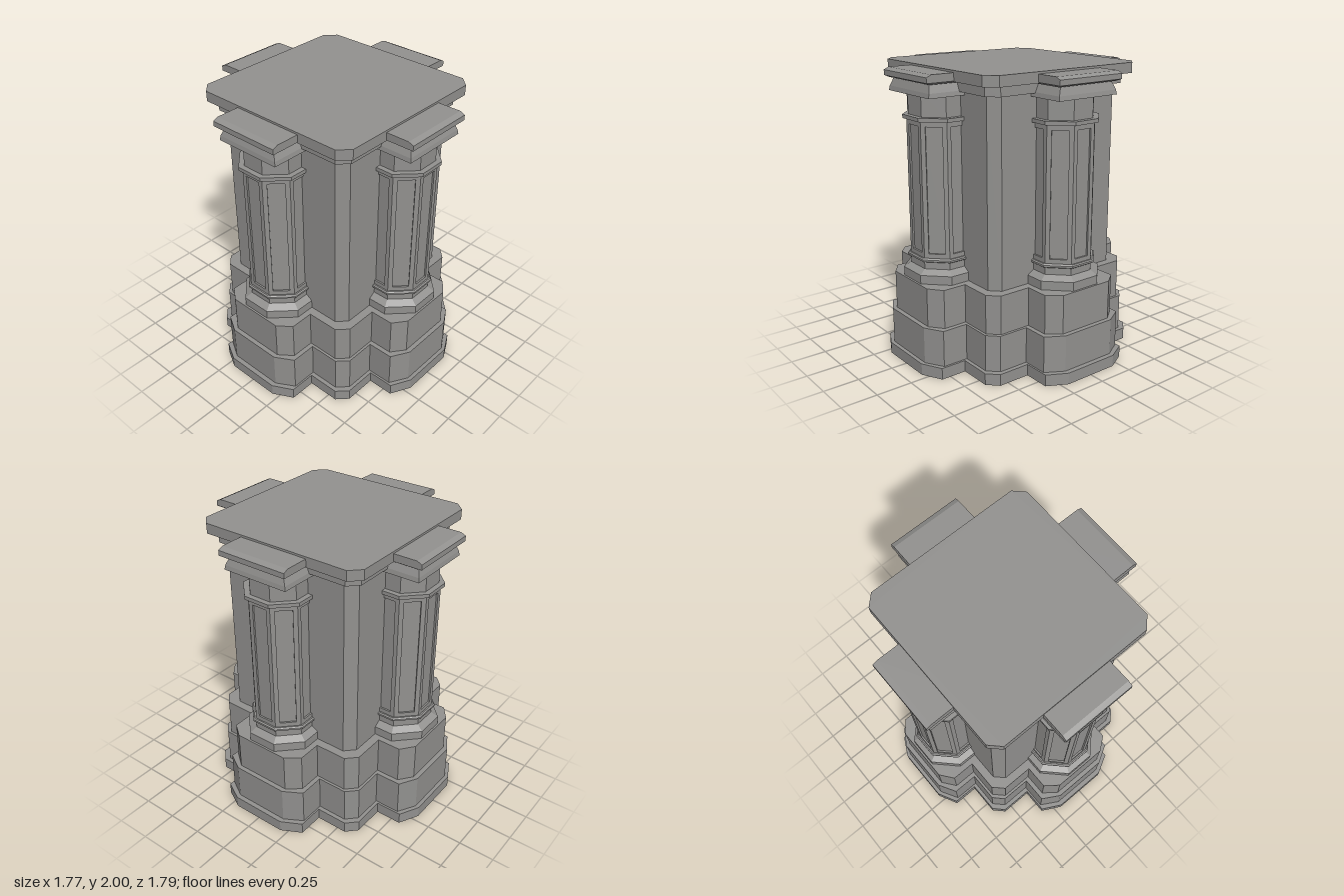
import * as THREE from 'three';

const material = new THREE.MeshStandardMaterial({ color: 0x92918f, flatShading: true });
const CENTER = 0.562; // distance of each pilaster axis from the middle

function add(parent, name, geometry) {
  const mesh = new THREE.Mesh(geometry, material);
  mesh.name = name;
  parent.add(mesh);
  return mesh;
}

// Upright prism over a plan outline
function prism(points, y0, y1) {
  const shape = new THREE.Shape(points.map(([x, y]) => new THREE.Vector2(x, y)));
  const g = new THREE.ExtrudeGeometry(shape, { depth: y1 - y0, bevelEnabled: false });
  return g.rotateX(-Math.PI / 2).translate(0, y0, 0);
}

// Repeat one side of a plan around the four quarter turns
function fourfold(side) {
  const out = [];
  for (let k = 0; k < 4; k++) {
    const c = Math.round(Math.cos(k * Math.PI / 2)), s = Math.round(Math.sin(k * Math.PI / 2));
    for (const [x, y] of side) out.push([x * c - y * s, x * s + y * c]);
  }
  return out;
}

// Square with cut corners
const cutSquare = (half, cut) => fourfold([[half, -(half - cut)], [half, half - cut]]);

// Cut square with a chamfered projection on each side
const crossPlan = (reach, width, body) => fourfold([
  [body, -(body - 0.07)], [body, -width], [reach - 0.072, -width], [reach, -0.2],
  [reach, 0.2], [reach - 0.072, width], [body, width], [body, body - 0.07],
]);

// Box whose top differs from its bottom in half width and front depth
function taperedBox(y0, y1, half0, half1, front0, front1, back = 0.5) {
  const g = new THREE.BoxGeometry(2, 1, 1);
  const p = g.attributes.position;
  for (let i = 0; i < p.count; i++) {
    const top = p.getY(i) > 0;
    p.setXYZ(i, p.getX(i) * (top ? half1 : half0), top ? y1 : y0,
      p.getZ(i) > 0 ? (top ? front1 : front0) : back);
  }
  g.computeVertexNormals();
  return g;
}

// Eight-sided turned form; profile gives [apothem, y]
function octagonal(profile) {
  const k = 1 / Math.cos(Math.PI / 8);
  const points = profile.map(([a, y]) => new THREE.Vector2(a * k, y));
  return new THREE.LatheGeometry(points, 8, Math.PI / 8).translate(0, 0, CENTER);
}

// Flat frame around a sunken panel on one shaft face
function panelFrame(apothem, depth, y0, y1) {
  const w = apothem * Math.tan(Math.PI / 8), hw = 0.055;
  const rect = (Type, h, a, b) => new Type([
    new THREE.Vector2(-h, a), new THREE.Vector2(h, a), new THREE.Vector2(h, b), new THREE.Vector2(-h, b),
  ]);
  const shape = rect(THREE.Shape, w, y0, y1);
  shape.holes.push(rect(THREE.Path, hw, 0.795, 1.64));
  return new THREE.ExtrudeGeometry(shape, { depth, bevelEnabled: false })
    .translate(0, 0, apothem - depth);
}

function createPilaster() {
  const g = new THREE.Group();
  add(g, 'pilasterFoot', octagonal([[0, 0.6], [0.252, 0.6], [0.252, 0.66], [0.205, 0.69], [0.205, 0.74], [0, 0.74]]));
  add(g, 'pilasterRing', octagonal([
    [0.19, 0.74], [0.215, 0.74], [0.224, 0.746], [0.224, 0.758], [0.215, 0.765], [0.19, 0.765],
  ]));
  add(g, 'pilasterShaft', octagonal([[0.193, 0.74], [0.193, 1.68]]));
  for (let k = -2; k <= 2; k++) {
    const frame = add(g, 'panelFrame', panelFrame(0.205, 0.016, 0.765, 1.675));
    frame.rotation.y = k * Math.PI / 4;
    frame.position.z = CENTER;
  }
  add(g, 'pilasterBand', octagonal([[0.19, 1.675], [0.228, 1.675], [0.228, 1.7], [0.19, 1.7]]));
  add(g, 'pilasterNeck', octagonal([[0.193, 1.69], [0.193, 1.86]]));
  // Capital
  add(g, 'capitalLower', taperedBox(1.838, 1.868, 0.24, 0.235, 0.797, 0.792));
  add(g, 'capitalUpper', taperedBox(1.868, 1.925, 0.235, 0.21, 0.792, 0.773));
  add(g, 'abacusUnderside', taperedBox(1.922, 1.935, 0.235, 0.256, 0.79, 0.82));
  add(g, 'abacus', taperedBox(1.935, 1.97, 0.256, 0.256, 0.82, 0.82));
  add(g, 'abacusTop', taperedBox(1.97, 1.986, 0.256, 0.256, 0.82, 0.785));
  return g;
}

export function createModel() {
  const model = new THREE.Group();
  model.name = 'pedestal';

  // Stepped base; the lowest step is slightly deeper than wide
  add(model, 'baseStep', prism(crossPlan(0.887, 0.337, 0.633), 0, 0.08).scale(1, 1, 1.008));
  add(model, 'basePlinth', prism(crossPlan(0.86, 0.325, 0.608), 0.08, 0.332));
  add(model, 'baseUpper', prism(crossPlan(0.828, 0.293, 0.59), 0.332, 0.6));

  // Central block, cornice and top slab
  add(model, 'core', prism(cutSquare(0.532, 0.065), 0.6, 1.862));
  add(model, 'cornice', prism(cutSquare(0.57, 0.068), 1.862, 1.93));
  add(model, 'topSlab', prism(cutSquare(0.623, 0.072), 1.93, 2));

  // One pilaster on each side
  ['front', 'left', 'back', 'right'].forEach((side, i) => {
    const p = createPilaster();
    p.name = side + 'Pilaster';
    p.rotation.y = i * Math.PI / 2;
    model.add(p);
  });
  return model;
}
